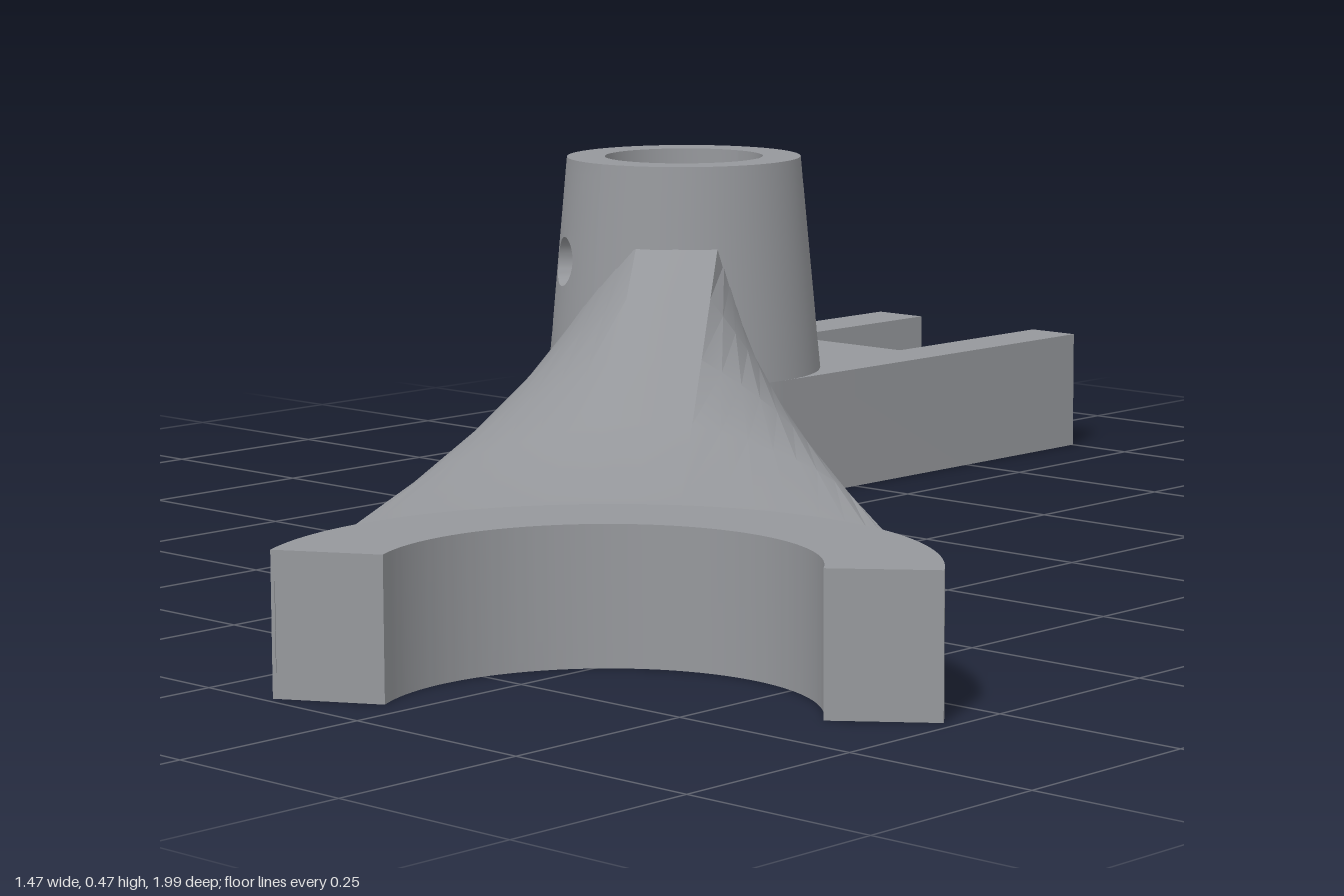
import * as THREE from 'three';
import { toCreasedNormals } from 'three/addons/utils/BufferGeometryUtils.js';

const HUB = { x: -0.545, z: -0.35, r: 0.195, topR: 0.167, bore: 0.113 };
const YOKE = { x: 0.43, z: 0.805, r: 0.38, inner: 0.248 };
const BASE_H = 0.17, HUB_H = 0.475;
const rad = THREE.MathUtils.degToRad, lerp = THREE.MathUtils.lerp;

// Surface from a rule fn(u, v) -> [x, y, z]
function grid(fn, nu, nv, flip = false, crease = 0.6) {
  const pos = [], idx = [];
  for (let j = 0; j <= nv; j++) {
    for (let i = 0; i <= nu; i++) pos.push(...fn(i / nu, j / nv));
  }
  for (let j = 0; j < nv; j++) {
    for (let i = 0; i < nu; i++) {
      const a = j * (nu + 1) + i, b = a + 1, c = a + nu + 1, d = c + 1;
      if (flip) idx.push(a, b, c, b, d, c);
      else idx.push(a, c, b, b, c, d);
    }
  }
  const g = new THREE.BufferGeometry();
  g.setAttribute('position', new THREE.Float32BufferAttribute(pos, 3));
  g.setIndex(idx);
  return toCreasedNormals(g, crease);
}

// Plan outline (x, z) raised from the ground
function slab(shape, height) {
  const g = new THREE.ExtrudeGeometry(shape, { depth: height, bevelEnabled: false, curveSegments: 48 });
  g.rotateX(Math.PI / 2).translate(0, height, 0);
  return toCreasedNormals(g, 0.6);
}

export function createModel() {
  const model = new THREE.Group();
  model.name = 'clutchFork';
  const metal = new THREE.MeshStandardMaterial({ color: 0x96989c, side: THREE.DoubleSide });
  metal.name = 'grey metal';
  const add = (name, geometry, parent = model) => {
    const mesh = new THREE.Mesh(geometry, metal);
    mesh.name = name;
    parent.add(mesh);
  };

  // Two-pronged fork with a rounded end around the bore
  const fork = new THREE.Shape();
  fork.moveTo(-0.74, -1);
  fork.lineTo(-0.655, -1);
  fork.lineTo(-0.655, -0.69);
  fork.lineTo(-0.43, -0.69);
  fork.lineTo(-0.43, -1);
  fork.lineTo(-0.35, -1);
  fork.absarc(HUB.x, HUB.z, HUB.r, 0, Math.PI, false);
  fork.closePath();
  const bore = new THREE.Path();
  bore.absarc(HUB.x, HUB.z, HUB.bore, 0, Math.PI * 2, true);
  fork.holes.push(bore);
  add('forkBase', slab(fork, BASE_H));

  // Half-ring yoke
  const yoke = new THREE.Shape();
  yoke.absarc(YOKE.x, YOKE.z, YOKE.r, rad(151), rad(323), false);
  yoke.absarc(YOKE.x, YOKE.z, YOKE.inner, rad(323), rad(151), true);
  yoke.closePath();
  add('yoke', slab(yoke, BASE_H));

  // Tapered hub with a cross pin hole through both walls
  const hub = new THREE.Group();
  hub.name = 'hub';
  model.add(hub);
  const outerR = y => lerp(HUB.r, HUB.topR, (y - BASE_H) / (HUB_H - BASE_H));
  const boreR = () => HUB.bore;
  const onWall = (a, y, radius) =>
    [HUB.x + radius(y) * Math.cos(a), y, HUB.z + radius(y) * Math.sin(a)];
  const midY = (BASE_H + HUB_H) / 2, halfY = (HUB_H - BASE_H) / 2;
  const pinR = 0.035, panel = 0.5;

  for (const [angle, pinY] of [[118.6, 0.33], [298.6, 0.36]]) {
    const a0 = rad(angle);
    const rim = (u, radius) => {
      const p = u * Math.PI * 2, y = pinY + pinR * Math.sin(p);
      return [a0 + pinR * Math.cos(p) / radius(y), y];
    };
    for (const [radius, name, inside] of [[outerR, 'hubWall', false], [boreR, 'hubBore', true]]) {
      // plain part of the wall
      add(name, grid((u, v) => onWall(a0 + lerp(panel, Math.PI - panel, u),
        lerp(BASE_H, HUB_H, v), radius), 20, 4, inside), hub);
      // panel around the pin hole
      add(name + 'PinPanel', grid((u, v) => {
        const p = u * Math.PI * 2, c = Math.cos(p), s = Math.sin(p);
        const k = 1 / Math.max(Math.abs(c), Math.abs(s));
        const [ha, hy] = rim(u, radius);
        return onWall(lerp(a0 + panel * c * k, ha, v), lerp(midY + halfY * s * k, hy, v), radius);
      }, 32, 6, inside), hub);
    }
    add('pinHole', grid((u, v) => {
      const from = onWall(...rim(u, outerR), outerR), to = onWall(...rim(u, boreR), boreR);
      return from.map((n, i) => lerp(n, to[i], v));
    }, 32, 1), hub);
  }
  add('hubRim', grid((u, v) => {
    const a = u * Math.PI * 2, r = lerp(HUB.topR, HUB.bore, v);
    return [HUB.x + r * Math.cos(a), HUB_H, HUB.z + r * Math.sin(a)];
  }, 64, 1), hub);

  // Arm: key lines as [angle at hub, radius at hub, angle at yoke, rib share]
  const keys = [
    [147, 0.193, 150.7, 0],
    [71.4, 0.155, 221, 1],
    [28.2, 0.155, 238.4, 1],
    [10, 0.203, 308, 0],
  ];
  const steps = [8, 2, 8], columns = [];
  steps.forEach((n, k) => {
    for (let i = 0; i < n; i++) columns.push(keys[k].map((q, m) => lerp(q, keys[k + 1][m], i / n)));
  });
  columns.push(keys[3]);
  const loop = [
    ...columns.map(c => [c, true]),
    ...columns.slice().reverse().map(c => [c, false]),
    [columns[0], true],
  ];
  const rows = [0, 0.2, 0.4, 0.6, 0.816, 1];
  const plateTop = 0.135, plateBottom = 0.03;
  // rib falls evenly from the hub, then runs level to the yoke
  const ribTop = t => (t < 0.816 ? lerp(0.367, 0.145, t / 0.816) : lerp(0.145, 0.138, (t - 0.816) / 0.184));
  add('ribbedArm', grid((u, v) => {
    const [[ha, hr, ya, share], top] = loop[Math.round(u * (loop.length - 1))];
    const t = rows[Math.round(v * (rows.length - 1))];
    const x = lerp(HUB.x + hr * Math.cos(rad(ha)), YOKE.x + 0.375 * Math.cos(rad(ya)), t);
    const z = lerp(HUB.z + hr * Math.sin(rad(ha)), YOKE.z + 0.375 * Math.sin(rad(ya)), t);
    return [x, top ? lerp(plateTop, ribTop(t), share) : plateBottom, z];
  }, loop.length - 1, rows.length - 1, false, 0.4));

  return model;
}
